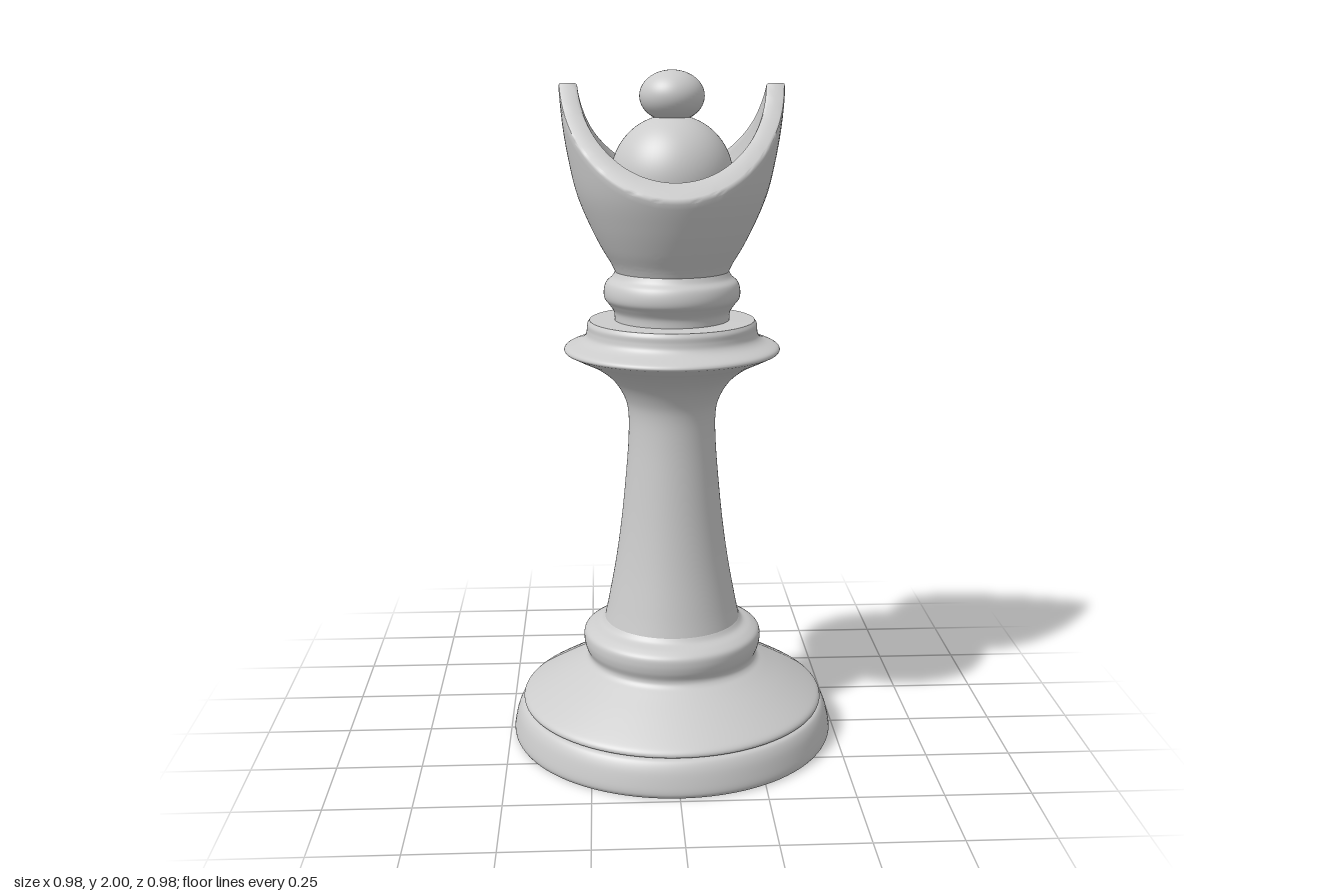
import * as THREE from 'three';
import { toCreasedNormals } from 'three/addons/utils/BufferGeometryUtils.js';

const material = new THREE.MeshStandardMaterial({ color: 0xcccccc, side: THREE.DoubleSide });
const SEGMENTS = 96;

const spline = (pts) => new THREE.SplineCurve(pts.map(([r, y]) => new THREE.Vector2(r, y)));

function addMesh(group, name, geometry) {
  const mesh = new THREE.Mesh(geometry, material);
  mesh.name = name;
  group.add(mesh);
  return mesh;
}

// Turned section: a smooth curve through [radius, height] points
function addTurned(group, name, pts, steps = pts.length * 5) {
  const profile = pts.length > 2 ? spline(pts).getPoints(steps) : pts.map(([r, y]) => new THREE.Vector2(r, y));
  profile.forEach((p) => { p.x = Math.max(p.x, 0); });
  return addMesh(group, name, new THREE.LatheGeometry(profile, SEGMENTS));
}

// Cup whose walls are cut by two planes sloping down from a ridge along x
function crownGeometry() {
  const outer = spline([[0.166, 1.43], [0.178, 1.455], [0.205, 1.5], [0.24, 1.57], [0.274, 1.655],
    [0.296, 1.75], [0.312, 1.85], [0.322, 1.97], [0.324, 2.02]]);
  const inner = spline([[0, 1.55], [0.14, 1.575], [0.19, 1.63], [0.226, 1.7], [0.248, 1.8],
    [0.262, 1.9], [0.269, 1.97], [0.27, 2.02]]);
  const cutAt = (curve, s) => {
    let lo = 0, hi = 1;
    for (let n = 0; n < 30; n++) {
      const t = (lo + hi) / 2, p = curve.getPoint(t);
      if (p.y < 1.963 - 1.125 * p.x * s) lo = t; else hi = t;
    }
    return lo;
  };
  const N = 24, positions = [], index = [];
  let rows = 0;
  for (let i = 0; i < SEGMENTS; i++) {
    const angle = (i / SEGMENTS) * Math.PI * 2;
    const s = Math.abs(Math.sin(angle));
    const tOut = cutAt(outer, s), tIn = cutAt(inner, s);
    const a = outer.getPoint(tOut), b = inner.getPoint(tIn);
    const section = [];
    for (let j = 0; j <= N; j++) section.push(outer.getPoint((tOut - 0.012) * j / N));
    // softened rim edges
    for (const k of [0.05, 0.14, 0.5, 0.86, 0.95]) {
      const p = a.clone().lerp(b, k);
      if (k < 0.1 || k > 0.9) p.y -= 0.002;
      section.push(p);
    }
    for (let j = N; j >= 0; j--) section.push(inner.getPoint((tIn - 0.012) * j / N));
    rows = section.length;
    for (const p of section) positions.push(p.x * Math.cos(angle), p.y, p.x * Math.sin(angle));
  }
  for (let i = 0; i < SEGMENTS; i++) {
    for (let j = 0; j < rows - 1; j++) {
      const p = i * rows + j, q = ((i + 1) % SEGMENTS) * rows + j;
      index.push(p, p + 1, q);
      if (j < rows - 2) index.push(p + 1, q + 1, q);
    }
  }
  const geometry = new THREE.BufferGeometry();
  geometry.setAttribute('position', new THREE.Float32BufferAttribute(positions, 3));
  geometry.setIndex(index);
  return toCreasedNormals(geometry, 0.75);
}

export function createModel() {
  const model = new THREE.Group();
  model.name = 'chessPiece';

  // Foot with a hollow underside
  addTurned(model, 'baseHollow', [[0, 0.2], [0.1, 0.19], [0.2, 0.145], [0.27, 0.07], [0.3, 0]]);
  addTurned(model, 'baseUnderside', [[0.3, 0], [0.482, 0]]);
  addTurned(model, 'baseRim', [[0.482, 0], [0.488, 0.012], [0.486, 0.035], [0.476, 0.075], [0.462, 0.1], [0.445, 0.107]]);
  addTurned(model, 'baseSlope', [[0.445, 0.107], [0.457, 0.112], [0.454, 0.125], [0.43, 0.142], [0.36, 0.183],
    [0.29, 0.222], [0.264, 0.238], [0.257, 0.255], [0.266, 0.28], [0.27, 0.305], [0.266, 0.328],
    [0.245, 0.343], [0.218, 0.354], [0.205, 0.368]]);

  // Shaft flaring into the collar
  addTurned(model, 'shaft', [[0.205, 0.368], [0.192, 0.43], [0.17, 0.55], [0.152, 0.68], [0.138, 0.82], [0.13, 0.93],
    [0.13, 1.01], [0.143, 1.06], [0.175, 1.11], [0.225, 1.15], [0.28, 1.178], [0.314, 1.195]]);
  addTurned(model, 'collar', [[0.314, 1.195], [0.317, 1.202], [0.308, 1.212], [0.272, 1.226], [0.255, 1.24],
    [0.25, 1.258], [0.249, 1.275], [0.242, 1.287]]);
  addTurned(model, 'collarTop', [[0.242, 1.287], [0.168, 1.288]]);

  // Neck ring
  addTurned(model, 'neckRing', [[0.168, 1.288], [0.17, 1.312], [0.184, 1.334], [0.197, 1.352], [0.199, 1.375],
    [0.192, 1.398], [0.175, 1.414], [0.166, 1.43]]);

  // Crown with the dome and finial inside
  addMesh(model, 'crown', crownGeometry());
  addMesh(model, 'dome', new THREE.SphereGeometry(0.176, 64, 40)).position.y = 1.7;
  const finial = addMesh(model, 'finial', new THREE.SphereGeometry(0.093, 48, 32));
  finial.scale.y = 0.78;
  finial.position.y = 2 - 0.093 * 0.78;

  return model;
}
